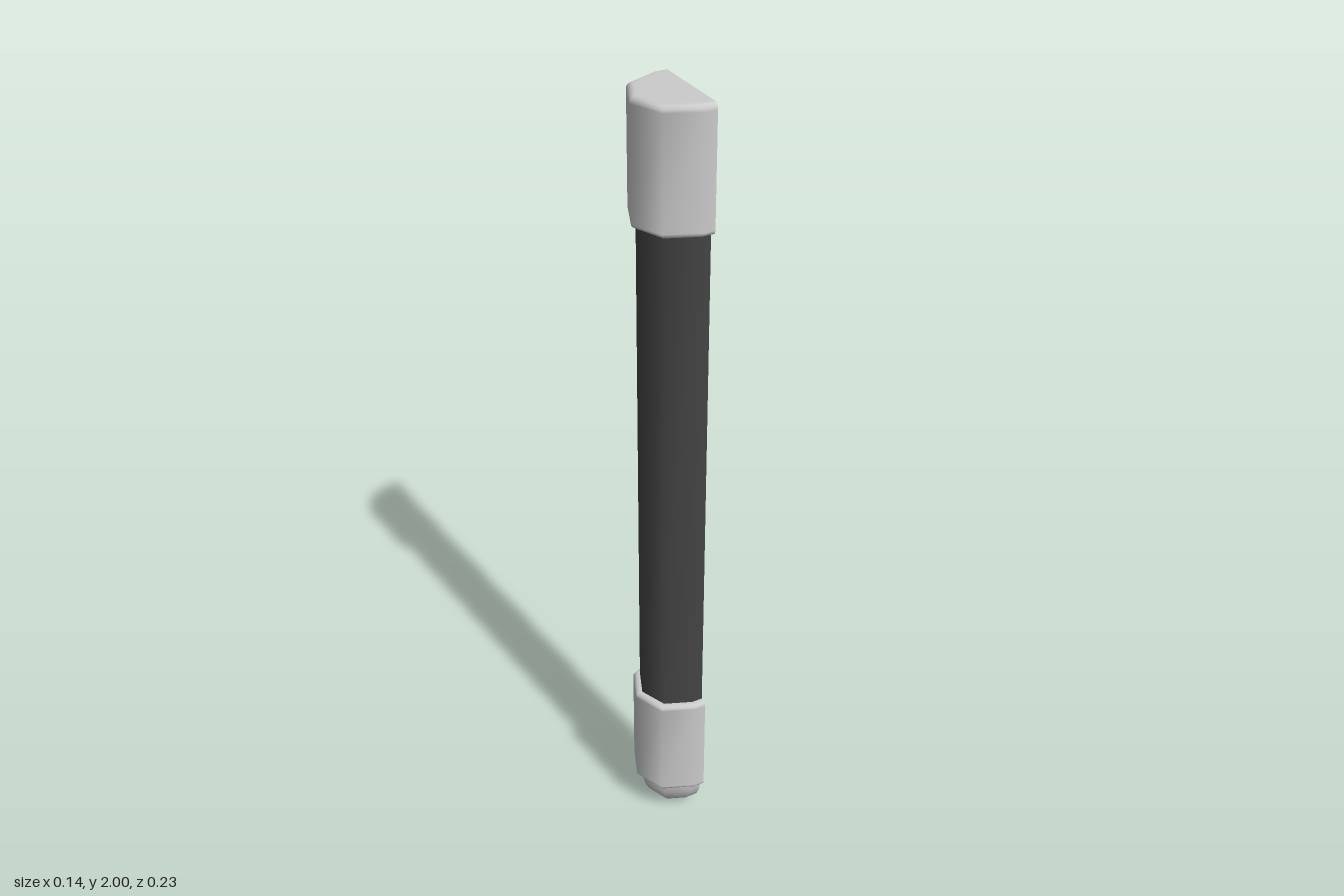
import * as THREE from 'three';

const AXIS_X = 0.042; // centre line of the half octagon
const CUT_X = 0.07;   // open side

// Cross-section: half an octagon continued straight to the open side.
function section(r) {
  const pts = [[CUT_X, r]];
  for (let i = 0; i <= 4; i++) {
    const a = Math.PI / 2 + (i * Math.PI) / 4;
    pts.push([AXIS_X + r * Math.cos(a), r * Math.sin(a)]);
  }
  pts.push([CUT_X, -r]);
  return pts;
}

// Skins a profile of [radius, height] pairs, listed from bottom to top.
function shell(name, profile, color) {
  const positions = [], index = [];
  const n = section(1).length;
  profile.forEach(([r, y]) => section(r).forEach(([x, z]) => positions.push(x, y, z)));
  for (let j = 0; j < profile.length - 1; j++) {
    for (let i = 0; i < n - 1; i++) {
      const a = j * n + i, b = a + 1, c = a + n, d = c + 1;
      index.push(a, c, b, b, c, d);
    }
  }
  const geometry = new THREE.BufferGeometry();
  geometry.setAttribute('position', new THREE.Float32BufferAttribute(positions, 3));
  geometry.setIndex(index);
  geometry.computeVertexNormals();
  const material = new THREE.MeshStandardMaterial({ color, side: THREE.DoubleSide });
  const mesh = new THREE.Mesh(geometry, material);
  mesh.name = name;
  return mesh;
}

// Rounded corner between a side wall of radius r and the horizontal level y.
function corner(r, y, size, up) {
  const pts = [];
  for (let i = 0; i <= 4; i++) {
    const a = (i / 4) * Math.PI / 2;
    pts.push([r - size + size * Math.cos(a), y + up * size * (Math.sin(a) - 1)]);
  }
  return up > 0 ? pts : pts.reverse();
}

export function createModel() {
  const group = new THREE.Group();
  const R = 0.113, ROD = 0.095, GREY = 0xcccccc;

  // Dark half rod, its ends tucked inside the sleeves
  group.add(shell('rod', [[ROD, 0.36], [ROD, 1.755]], 0x444444));

  // Upper sleeve with a closed top and an inward lip
  group.add(shell('upperSleeve', [
    [ROD, 1.71], ...corner(R, 1.71, 0.012, -1),
    ...corner(R, 2, 0.015, 1), [0.08, 2], [0, 2],
  ], GREY));

  // Lower sleeve, lipped at both ends
  group.add(shell('lowerSleeve', [
    [ROD, 0.107], ...corner(R, 0.107, 0.012, -1),
    ...corner(R, 0.4, 0.012, 1), [ROD, 0.4],
  ], GREY));

  // Half dome closing the lower end
  const dome = [];
  for (let i = 0; i <= 10; i++) {
    const a = (i / 10) * Math.PI / 2;
    dome.push([ROD * Math.sin(a), 0.107 * (1 - Math.cos(a))]);
  }
  group.add(shell('endDome', dome, GREY));

  return group;
}
